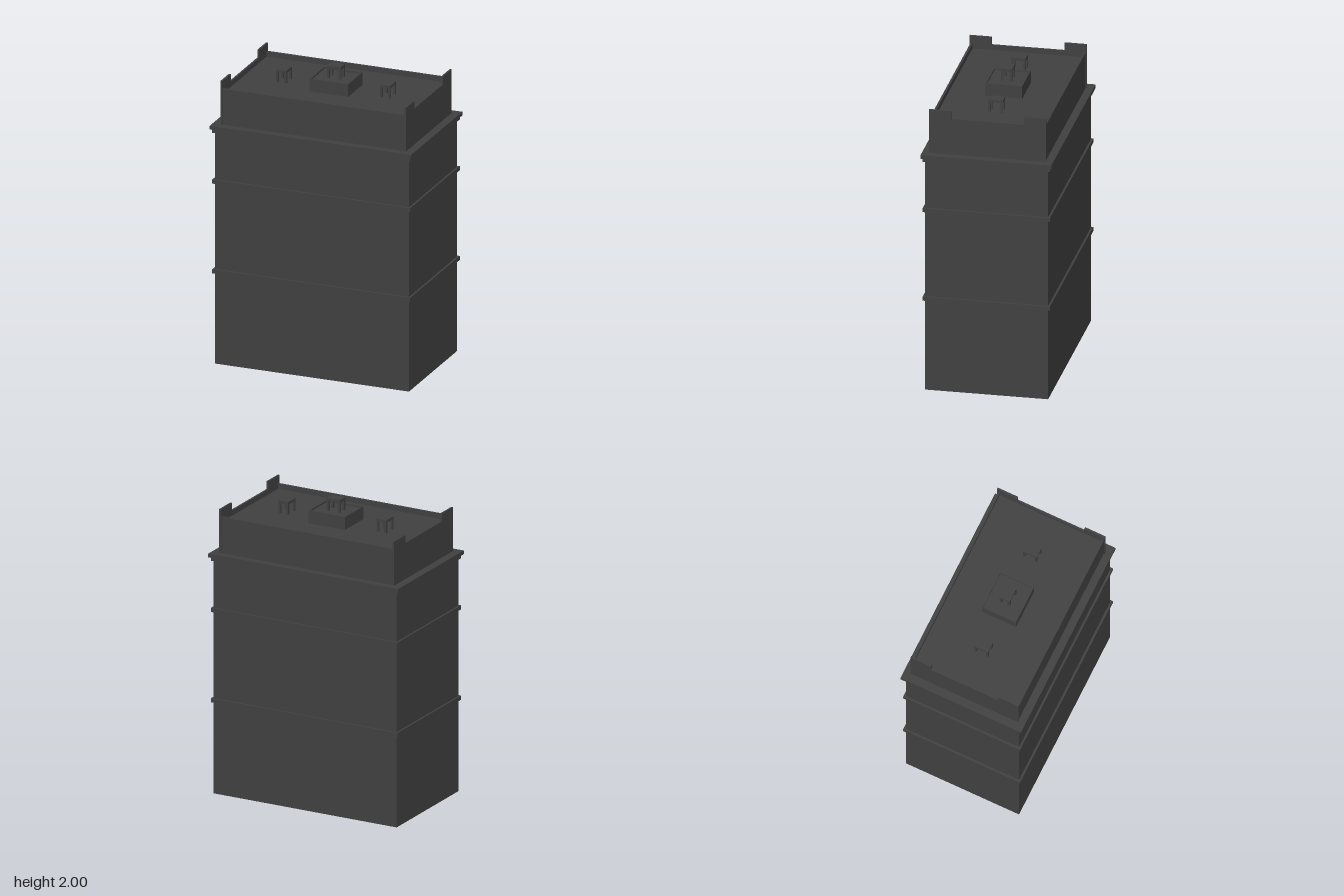
import * as THREE from 'three';

const material = new THREE.MeshStandardMaterial({ color: 0x404040, flatShading: true, side: THREE.DoubleSide });

function add(parent, name, geometry, x = 0, y = 0, z = 0) {
  const mesh = new THREE.Mesh(geometry, material);
  mesh.name = name;
  mesh.position.set(x, y, z);
  parent.add(mesh);
  return mesh;
}

// Box given by its bottom and top heights
function block(parent, name, w, d, y0, y1, x = 0, z = 0) {
  return add(parent, name, new THREE.BoxGeometry(w, y1 - y0, d), x, (y0 + y1) / 2, z);
}

function rectPoints(hx, hz) {
  return [[-hx, -hz], [hx, -hz], [hx, hz], [-hx, hz]].map(([x, y]) => new THREE.Vector2(x, y));
}

// Rectangular ring: outer and inner half sizes, bottom and top heights
function ring(parent, name, hx, hz, ix, iz, y0, y1) {
  const shape = new THREE.Shape(rectPoints(hx, hz));
  shape.holes.push(new THREE.Path(rectPoints(ix, iz)));
  const geometry = new THREE.ExtrudeGeometry(shape, { depth: y1 - y0, bevelEnabled: false });
  geometry.rotateX(-Math.PI / 2);
  return add(parent, name, geometry, 0, y0, 0);
}

// Small four-legged frame with a solid cap
function vent(parent, name, hx, hz, y0, y1, x) {
  const group = new THREE.Group();
  group.name = name;
  group.position.x = x;
  parent.add(group);
  const t = 0.015;
  block(group, 'ventCap', hx * 2, hz * 2, y1 - 0.018, y1);
  for (const sx of [-1, 1]) {
    for (const sz of [-1, 1]) {
      block(group, 'ventLeg', t, t, y0, y1 - 0.018, sx * (hx - t / 2), sz * (hz - t / 2));
    }
  }
}

export function createModel() {
  const building = new THREE.Group();
  building.name = 'building';

  // Main walls, open underneath
  const walls = new THREE.CylinderGeometry(Math.SQRT1_2, Math.SQRT1_2, 1.6, 4, 1, true);
  walls.rotateY(Math.PI / 4);
  walls.scale(1.344, 1, 0.804);
  add(building, 'mainWalls', walls, 0, 0.8, 0);

  // String courses and stepped cornice
  ring(building, 'lowerBand', 0.686, 0.416, 0.67, 0.4, 0.62, 0.647);
  ring(building, 'upperBand', 0.686, 0.416, 0.67, 0.4, 1.233, 1.26);
  ring(building, 'corniceLower', 0.686, 0.416, 0.63, 0.365, 1.58, 1.605);
  ring(building, 'corniceUpper', 0.698, 0.428, 0.63, 0.365, 1.605, 1.63);

  // Attic storey: long walls, and end walls rising at the corners
  for (const s of [-1, 1]) {
    block(building, s > 0 ? 'frontAtticWall' : 'backAtticWall', 1.264, 0.014, 1.62, 1.875, 0, s * 0.37);
  }
  const profile = [[-0.383, 1.62], [0.383, 1.62], [0.383, 1.928], [0.238, 1.928],
    [0.238, 1.875], [-0.238, 1.875], [-0.238, 1.928], [-0.383, 1.928]];
  const endShape = new THREE.Shape(profile.map(([z, y]) => new THREE.Vector2(z, y)));
  const endWall = new THREE.ExtrudeGeometry(endShape, { depth: 0.013, bevelEnabled: false });
  endWall.translate(0, 0, -0.0065).rotateY(-Math.PI / 2);
  add(building, 'leftEndWall', endWall, 0.637);
  add(building, 'rightEndWall', endWall, -0.637);
  block(building, 'roof', 1.264, 0.73, 1.83, 1.84);

  // Roof house with a shallow rim
  block(building, 'roofHouse', 0.256, 0.23, 1.84, 1.915);
  ring(building, 'roofHouseRim', 0.134, 0.121, 0.127, 0.114, 1.84, 1.927);

  // Vents on the roof and the roof house
  vent(building, 'leftVent', 0.036, 0.048, 1.84, 1.927, 0.36);
  vent(building, 'rightVent', 0.036, 0.048, 1.84, 1.927, -0.36);
  vent(building, 'centreVent', 0.048, 0.036, 1.915, 2, 0);

  return building;
}
